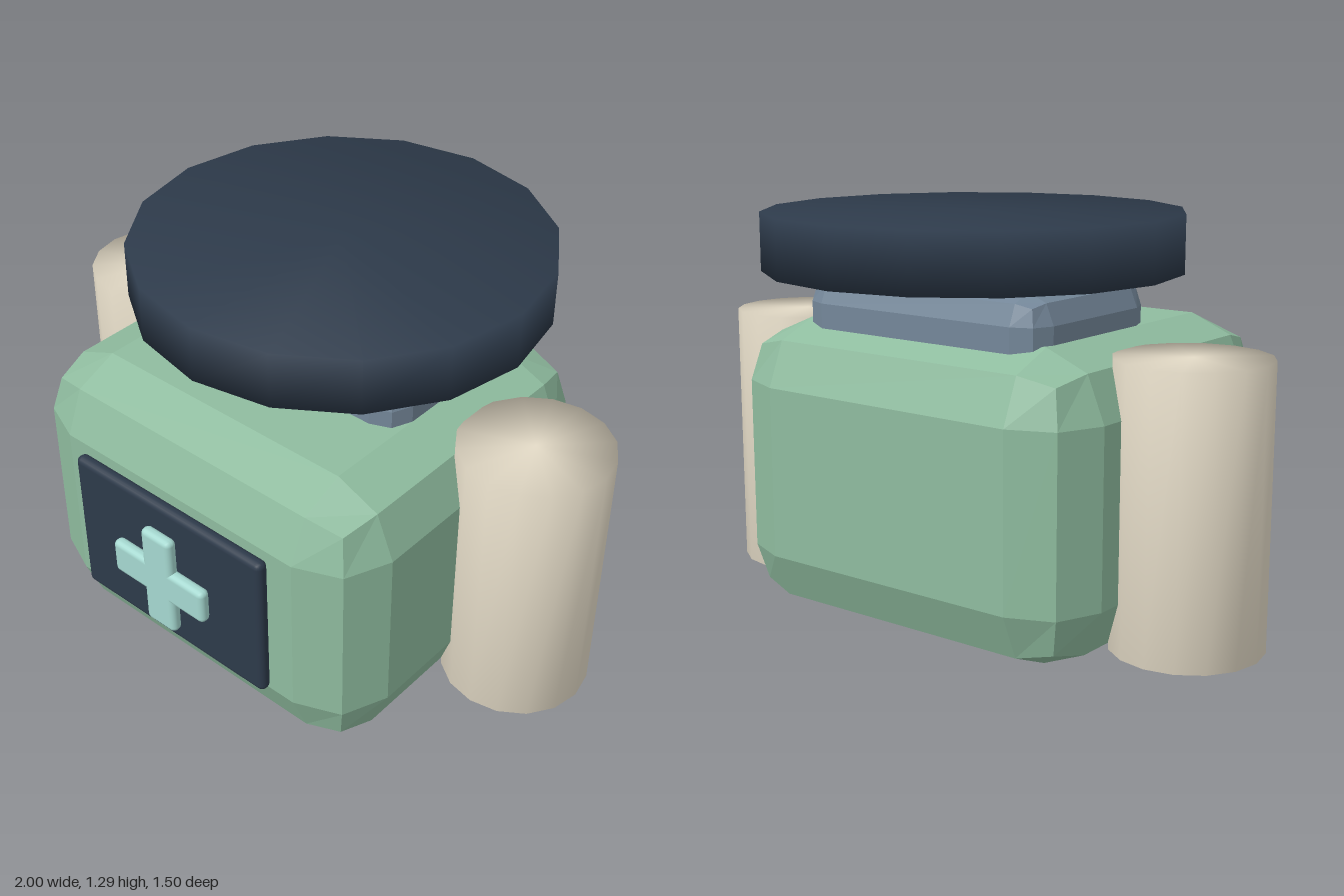
import * as THREE from 'three';
import { mergeVertices } from 'three/addons/utils/BufferGeometryUtils.js';
import { RoundedBoxGeometry } from 'three/addons/geometries/RoundedBoxGeometry.js';

const mat = (color, flatShading = false) => new THREE.MeshStandardMaterial({ color, flatShading });

// Box with chamfered or rounded edges, placed by its centre
function block(name, size, centre, radius, segments, material) {
  const mesh = new THREE.Mesh(new RoundedBoxGeometry(...size, segments, radius), material);
  mesh.name = name;
  mesh.position.set(...centre);
  return mesh;
}

// Upright 16-sided drum with normals blended across the rims
function drum(name, radius, height, centre, material) {
  let geometry = new THREE.CylinderGeometry(radius, radius, height, 16);
  geometry.deleteAttribute('normal');
  geometry.deleteAttribute('uv');
  geometry = mergeVertices(geometry);
  geometry.computeVertexNormals();
  const mesh = new THREE.Mesh(geometry, material);
  mesh.name = name;
  mesh.position.set(...centre);
  return mesh;
}

export function createModel() {
  const model = new THREE.Group();
  model.name = 'medicalPack';

  const green = mat(0x8fbc9f, true);
  const slate = mat(0x748799, true);
  const navy = mat(0x2d3a4a);
  const cream = mat(0xe5dcc8);
  const mint = mat(0xa5d8d0);

  // Chamfered main body and the raised lid on top
  model.add(block('body', [1.31, 0.945, 1.2], [0, 0.4725, 0.055], 0.2, 1, green));
  model.add(block('lid', [0.91, 0.36, 0.615], [0, 0.91, -0.0925], 0.09, 1, slate));

  // Floating disc above the lid
  model.add(drum('topDisc', 0.653, 0.18, [0, 1.2, -0.097], navy));

  // Side canisters
  for (const [name, side] of [['leftCanister', 1], ['rightCanister', -1]]) {
    model.add(drum(name, 0.235, 0.87, [side * 0.765, 0.475, -0.057], cream));
  }

  // Front panel with a cross made of two bars
  model.add(block('frontPanel', [0.76, 0.505, 0.043], [0, 0.4775, 0.684], 0.02, 2, navy));
  const cross = new THREE.Group();
  cross.name = 'cross';
  cross.add(block('crossUpright', [0.12, 0.36, 0.04], [0, 0.475, 0.731], 0.018, 2, mint));
  cross.add(block('crossBar', [0.375, 0.12, 0.04], [0, 0.475, 0.731], 0.018, 2, mint));
  model.add(cross);

  return model;
}
